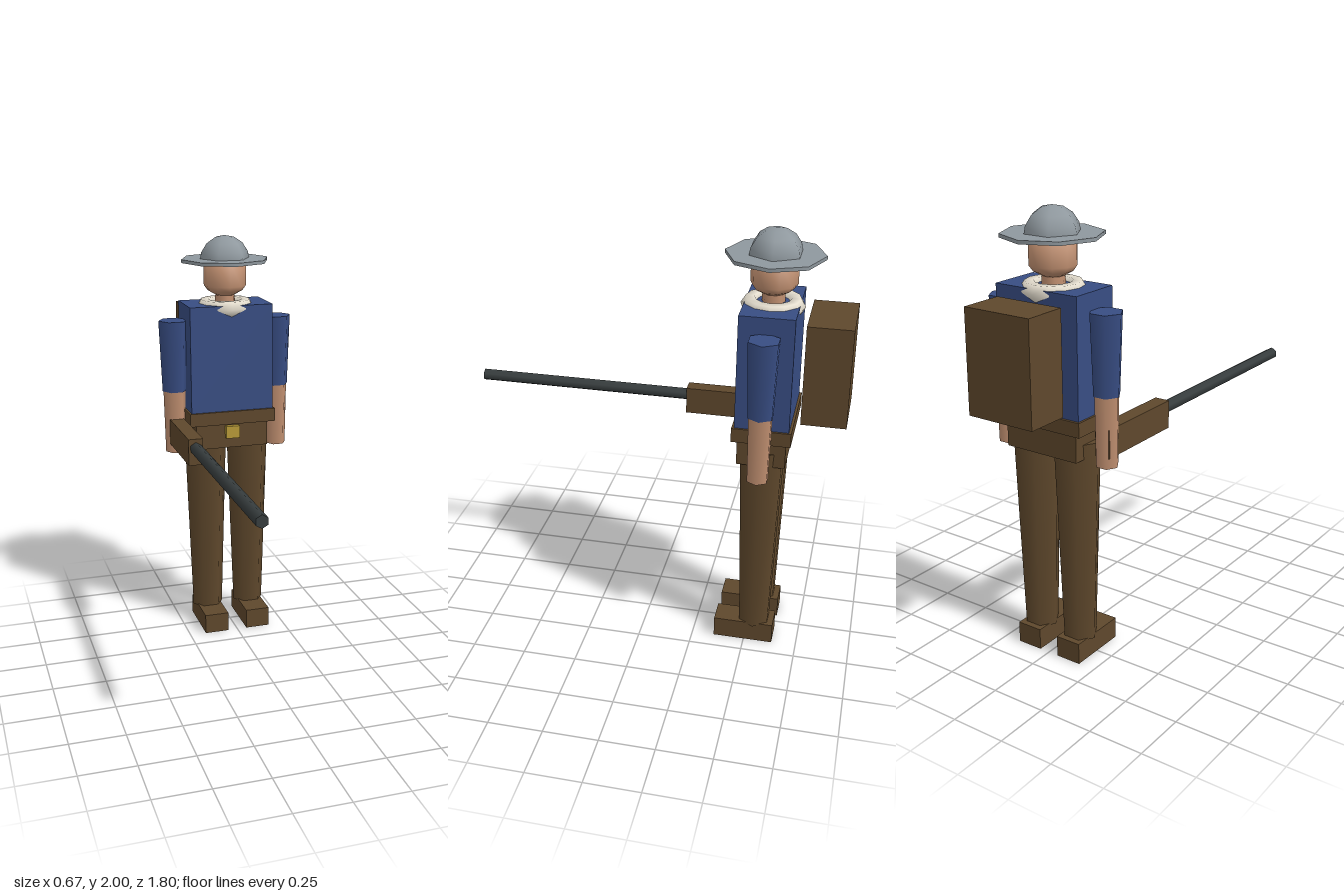
import * as THREE from 'three';

const mat = (name, color) => {
  const m = new THREE.MeshStandardMaterial({ color });
  m.name = name;
  return m;
};

export function createModel() {
  const blue = mat('blue cloth', 0x384d83);
  const brown = mat('brown leather', 0x5f482c);
  const skin = mat('skin', 0xc08f70);
  const steel = mat('grey steel', 0x8f989e);
  const dark = mat('gunmetal', 0x373d3e);
  const cream = mat('cream cloth', 0xe4ddce);
  const gold = mat('brass', 0xb89a38);

  const model = new THREE.Group();
  model.name = 'soldier';
  const body = new THREE.Group(); // body axis sits behind the centre
  body.name = 'body';
  body.position.z = -0.54;
  model.add(body);

  const add = (name, geo, material, x, y, z, parent = body) => {
    const mesh = new THREE.Mesh(geo, material);
    mesh.name = name;
    mesh.position.set(x, y, z);
    parent.add(mesh);
    return mesh;
  };
  // box given by its bottom and top heights
  const box = (name, material, w, d, y0, y1, x = 0, z = 0) =>
    add(name, new THREE.BoxGeometry(w, y1 - y0, d), material, x, (y0 + y1) / 2, z);
  // six-sided limb with corners pointing sideways
  const limb = (name, material, rTop, rBottom, y0, y1, x) =>
    add(name, new THREE.CylinderGeometry(rTop, rBottom, y1 - y0, 6).rotateY(Math.PI / 6),
      material, x, (y0 + y1) / 2, 0);

  // trunk
  box('torso', blue, 0.414, 0.24, 1.155, 1.676);
  box('belt', brown, 0.434, 0.262, 1.09, 1.155);
  box('hips', brown, 0.366, 0.216, 0.965, 1.09);
  box('buckle', gold, 0.07, 0.03, 1.018, 1.08, 0, 0.118);
  box('backpack', brown, 0.326, 0.198, 1.18, 1.634, 0, -0.261);

  // arms and legs
  for (const [side, s] of [['left', 1], ['right', -1]]) {
    limb(side + 'Sleeve', blue, 0.073, 0.06, 1.25, 1.6, s * 0.263);
    limb(side + 'Forearm', skin, 0.056, 0.05, 0.94, 1.25, s * 0.263);
    limb(side + 'Leg', brown, 0.108, 0.077, 0.09, 1.03, s * 0.109);
    box(side + 'Boot', brown, 0.121, 0.28, 0, 0.098, s * 0.109, 0.045);
  }

  // neck, scarf and head
  add('neck', new THREE.CylinderGeometry(0.048, 0.052, 0.1, 8), skin, 0, 1.69, 0);
  add('scarf', new THREE.TorusGeometry(0.101, 0.04, 6, 12).rotateX(Math.PI / 2), cream, 0, 1.658, 0);
  const headProfile = [[0, 1.71], [0.045, 1.713], [0.085, 1.735], [0.103, 1.76], [0.103, 1.88], [0, 1.885]];
  add('head', new THREE.LatheGeometry(headProfile.map(p => new THREE.Vector2(...p)), 10), skin, 0, 0, 0);

  // hat
  add('hatBrim', new THREE.CylinderGeometry(0.216, 0.216, 0.016, 8), steel, 0, 1.882, 0);
  add('hatCrown', new THREE.SphereGeometry(0.126, 6, 4, 0, Math.PI * 2, 0, Math.PI / 2), steel, 0, 1.874, 0);

  // gun held level in the right hand
  const gun = new THREE.Group();
  gun.name = 'gun';
  gun.position.set(-0.263, 0, 0);
  model.add(gun);
  add('stock', new THREE.BoxGeometry(0.07, 0.127, 0.45), brown, 0, 1.05, -0.35, gun);
  add('barrel', new THREE.CylinderGeometry(0.029, 0.029, 1.05, 6).rotateX(Math.PI / 2), dark, 0, 1.069, 0.375, gun);

  return model;
}
